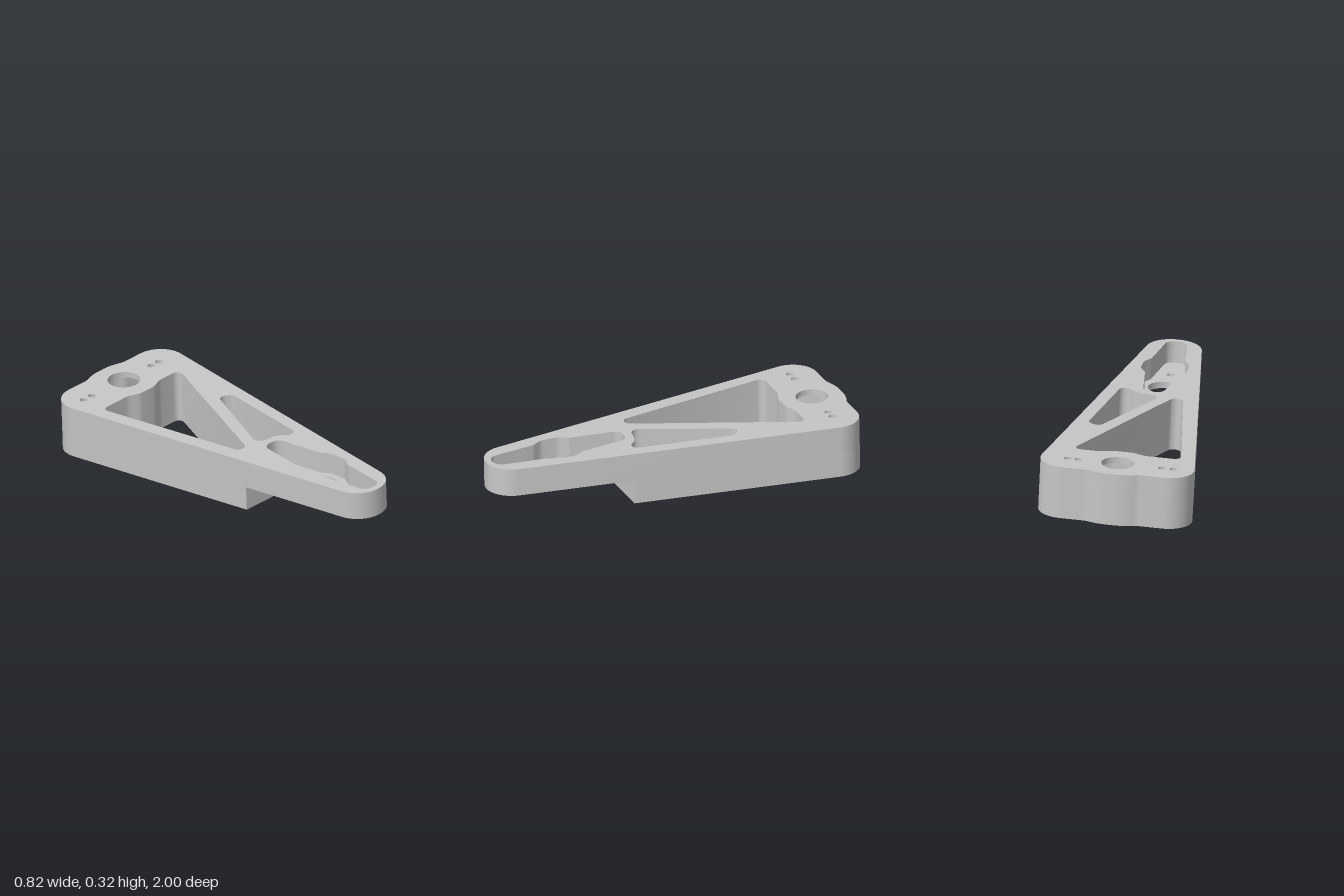
import * as THREE from 'three';
import { toCreasedNormals } from 'three/addons/utils/BufferGeometryUtils.js';

// Counter-clockwise loop of points from [x, z, cornerRadius] corners; loop y is -z.
function rounded(corners) {
  const pts = corners.map(([x, z, r = 0]) => ({ p: new THREE.Vector2(x, -z), r }));
  const out = [];
  pts.forEach(({ p, r }, i) => {
    if (!r) return out.push(p);
    const a = pts[(i + pts.length - 1) % pts.length].p.clone().sub(p).normalize();
    const b = pts[(i + 1) % pts.length].p.clone().sub(p).normalize();
    const half = Math.acos(THREE.MathUtils.clamp(a.dot(b), -1, 1)) / 2;
    const c = a.clone().add(b).normalize().multiplyScalar(r / Math.sin(half)).add(p);
    const start = a.clone().multiplyScalar(r / Math.tan(half)).add(p).sub(c);
    const end = b.clone().multiplyScalar(r / Math.tan(half)).add(p).sub(c);
    const sweep = Math.atan2(start.cross(end), start.dot(end));
    const n = Math.max(4, Math.ceil(Math.abs(sweep) / 0.13));
    for (let k = 0; k <= n; k++) {
      out.push(start.clone().rotateAround(new THREE.Vector2(), (sweep * k) / n).add(c));
    }
  });
  return THREE.ShapeUtils.isClockWise(out) ? out.reverse() : out;
}

// Adds the corners mirrored in x, in reverse order, to close a symmetric loop.
const mirrorX = (half) => [...half, ...half.slice().reverse().map(([x, z, r]) => [-x, z, r])];

function circle(x, z, r) {
  const n = 40;
  return Array.from({ length: n }, (_, i) => {
    const t = (i / n) * Math.PI * 2;
    return new THREE.Vector2(x + r * Math.cos(t), -z + r * Math.sin(t));
  });
}

// Outlines, from the middle of the back edge round to the front
const backEdge = [[0.068, -1, 0.26], [0.133, -0.975, 0.1], [0.4255, -0.975, 0.135]];
const frontEnd = [0.125, 1, 0.144];
const step = [0.236, 0.27];
const fullOutline = rounded(mirrorX([...backEdge, frontEnd]));
const blockOutline = rounded(mirrorX([...backEdge, step]));
const armOutline = rounded(mirrorX([step, frontEnd]));

// Triangular openings
const openings = [
  [
    [-0.308, -0.694, 0.035], [-0.115, -0.694, 0.08], [-0.055, -0.667, 0.08],
    [0.055, -0.667, 0.08], [0.115, -0.694, 0.08], [0.264, -0.694, 0.03], [-0.155, 0.25, 0.036],
  ],
  [
    [0.188, -0.343, 0.034], [0.25, -0.293, 0.036], [0.163, 0.29, 0.034],
    [0.09, 0.195, 0.1], [-0.05, 0.172, 0.04],
  ],
].map(rounded);

// Arm-shaped recess: half-widths w against length l
const recess = mirrorX([
  [0.052, -0.37, 0.048], [0.088, -0.1, 0.06], [0.12, -0.05, 0.06],
  [0.12, 0.05, 0.06], [0.088, 0.1, 0.06], [0.052, 0.37, 0.048],
]);
const frontRecess = rounded(recess.map(([w, l, r]) => [w, l + 0.595, r]));
const rearRecess = rounded(recess.map(([w, l, r]) => [l, w - 0.837, r]));

// Shaft and screw holes
const frontHoles = [[0, 0.594, 0.085], [0, 0.47, 0.02], [0, 0.785, 0.02]]
  .map((h) => circle(...h));
const rearHoles = [[0, -0.836, 0.085],
  ...[-0.294, -0.234, 0.206, 0.261].map((x) => [x, -0.839, 0.02])].map((h) => circle(...h));

// Heights measured from mid-thickness
const BOTTOM = -0.141, ARM = -0.01, FLOOR = 0.025, CEILING = 0.11, TOP = 0.141;

// Flat face with holes, looking up or down
function flatFace(loop, holes, y, up) {
  const shape = new THREE.Shape(loop);
  shape.holes = holes.map((h) => new THREE.Path(h));
  const g = new THREE.ShapeGeometry(shape);
  g.rotateX(-Math.PI / 2).translate(0, y, 0);
  if (!up) {
    g.index.array.reverse();
    g.computeVertexNormals();
  }
  return g;
}

// Upright wall along a loop, facing out of it or into it
function wall(loop, y0, y1, outward) {
  const pos = [];
  loop.forEach((p, i) => {
    const q = loop[(i + 1) % loop.length];
    const [s, e] = outward ? [p, q] : [q, p];
    pos.push(s.x, y0, -s.y, e.x, y0, -e.y, e.x, y1, -e.y);
    pos.push(s.x, y0, -s.y, e.x, y1, -e.y, s.x, y1, -s.y);
  });
  const g = new THREE.BufferGeometry();
  g.setAttribute('position', new THREE.Float32BufferAttribute(pos, 3));
  return toCreasedNormals(g, 0.6);
}

export function createModel() {
  const grey = new THREE.MeshStandardMaterial({ color: 0xc6c6c6 });
  grey.name = 'grey';

  const bracket = new THREE.Group();
  bracket.name = 'bracket';
  const add = (name, geometry) => {
    const mesh = new THREE.Mesh(geometry, grey);
    mesh.name = name;
    bracket.add(mesh);
  };

  // Outer body
  add('topFace', flatFace(fullOutline, [...openings, frontRecess, ...rearHoles], TOP, true));
  add('upperSides', wall(fullOutline, ARM, TOP, true));
  add('blockSides', wall(blockOutline, BOTTOM, ARM, true));
  add('blockUnderside', flatFace(blockOutline, [...openings, rearRecess], BOTTOM, false));
  add('armUnderside', flatFace(armOutline, frontHoles, ARM, false));
  openings.forEach((o) => add('openingWall', wall(o, BOTTOM, TOP, false)));

  // Front recess, open at the top
  add('frontRecessFloor', flatFace(frontRecess, frontHoles, FLOOR, true));
  add('frontRecessWall', wall(frontRecess, FLOOR, TOP, false));
  frontHoles.forEach((h) => add('frontHoleWall', wall(h, ARM, FLOOR, false)));

  // Rear recess, open at the bottom
  add('rearRecessCeiling', flatFace(rearRecess, rearHoles, CEILING, false));
  add('rearRecessWall', wall(rearRecess, BOTTOM, CEILING, false));
  rearHoles.forEach((h) => add('rearHoleWall', wall(h, CEILING, TOP, false)));

  // Whole bracket leans slightly to one side
  bracket.rotation.z = THREE.MathUtils.degToRad(2.5);
  bracket.position.y = 0.159;

  const model = new THREE.Group();
  model.name = 'model';
  model.add(bracket);
  return model;
}
